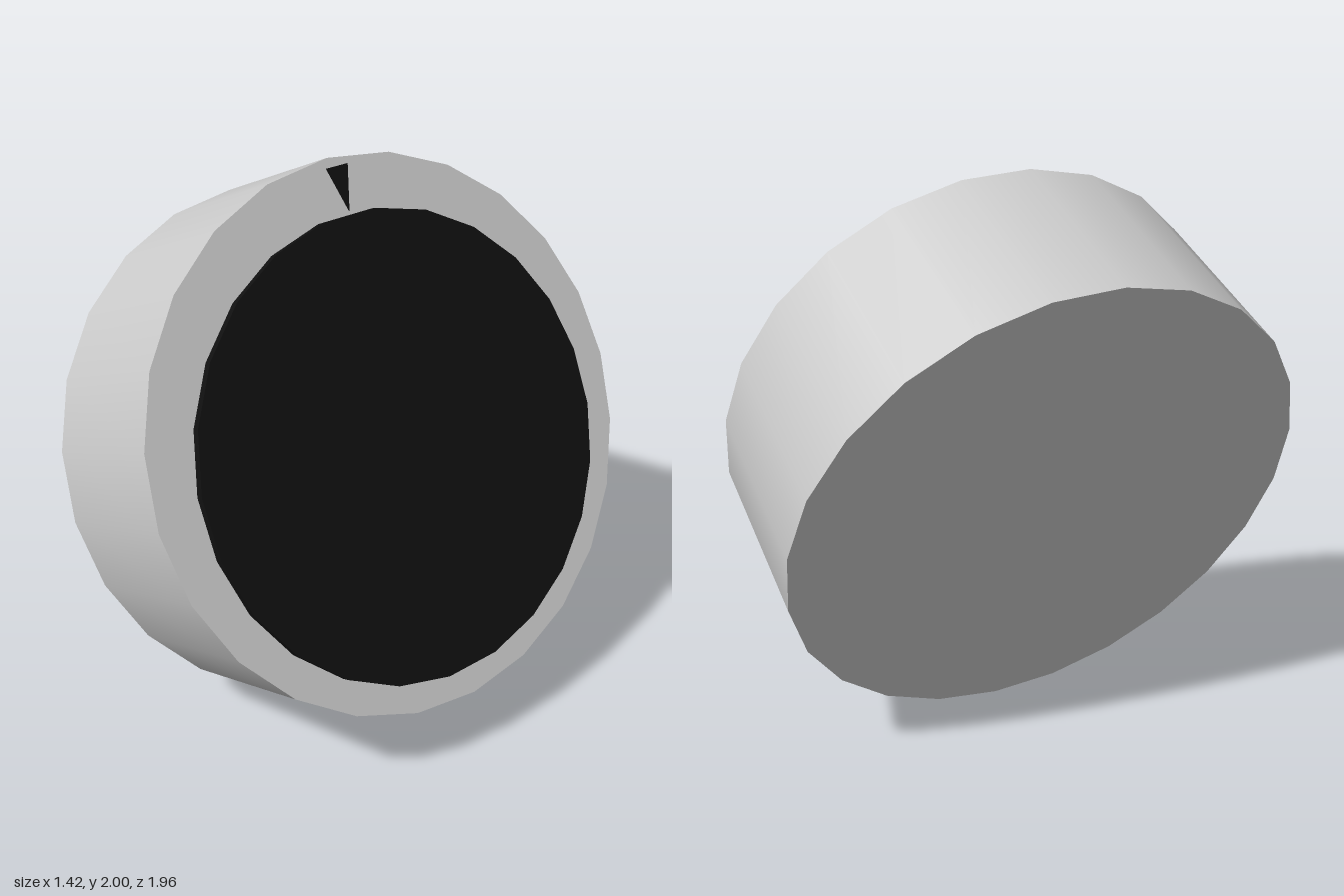
import * as THREE from 'three';

const RADIUS = 0.945;
const DEPTH = 0.676;
const SIDES = 24;

export function createModel() {
  const model = new THREE.Group();
  model.name = 'tiltedDial';

  const grey = new THREE.MeshStandardMaterial({ color: 0xcccccc });
  const black = new THREE.MeshStandardMaterial({ color: 0x101010 });
  const add = (name, geometry, material) => {
    const mesh = new THREE.Mesh(geometry, material);
    mesh.name = name;
    model.add(mesh);
    return mesh;
  };

  // Drum: local y is the dial axis, local z points to the top of the face
  add('drum', new THREE.CylinderGeometry(RADIUS, RADIUS, DEPTH, SIDES), grey);

  // Raised face plate, set slightly low on the drum
  const plateHeight = 0.03;
  const plate = add('facePlate', new THREE.CylinderGeometry(0.8, 0.8, plateHeight, SIDES), black);
  plate.rotation.y = Math.PI / SIDES;
  plate.position.set(-0.004, DEPTH / 2 + plateHeight / 2, -0.044);

  // Triangular pointer on the rim, tip towards the plate
  const triangle = new THREE.Shape([
    new THREE.Vector2(0, 0.762),
    new THREE.Vector2(0.043, 0.912),
    new THREE.Vector2(-0.043, 0.912),
  ]);
  const pointerGeometry = new THREE.ExtrudeGeometry(triangle, { depth: 0.02, bevelEnabled: false });
  pointerGeometry.rotateX(Math.PI / 2);
  const pointer = add('pointer', pointerGeometry, black);
  pointer.position.set(-0.028, DEPTH / 2 + 0.004, 0);

  // Tilt the whole dial
  const axis = new THREE.Vector3(0.902, 0.414, 0.118).normalize();
  const up = new THREE.Vector3(-0.418, 0.908, -0.026);
  const side = new THREE.Vector3().crossVectors(axis, up).normalize();
  up.crossVectors(side, axis);
  model.quaternion.setFromRotationMatrix(new THREE.Matrix4().makeBasis(side, axis, up));
  model.position.y = 1;

  return model;
}
